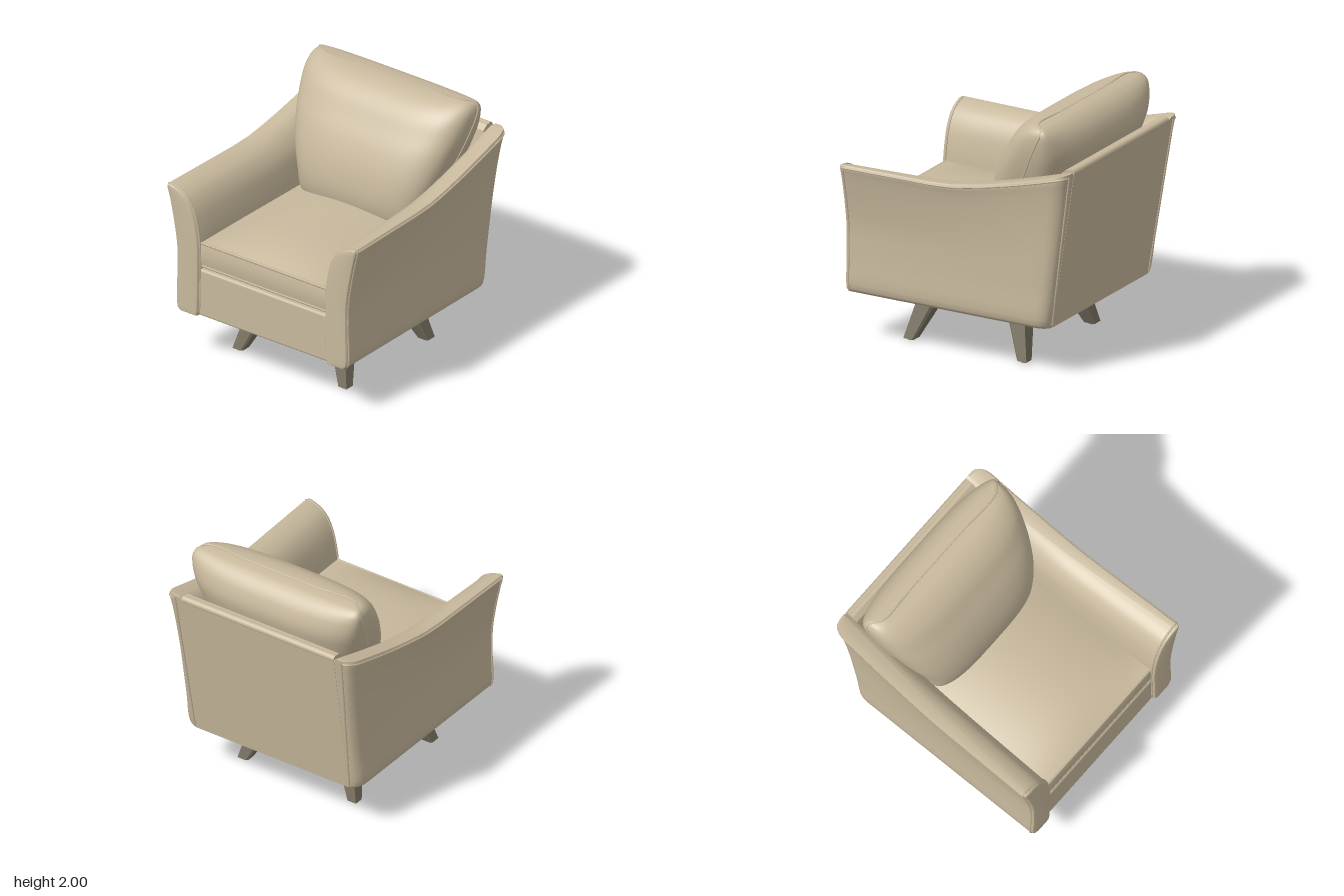
import * as THREE from 'three';
import { toCreasedNormals } from 'three/addons/utils/BufferGeometryUtils.js';
import { RoundedBoxGeometry } from 'three/addons/geometries/RoundedBoxGeometry.js';

const V = (x, y, z = 0) => new THREE.Vector3(x, y, z);
const lerp = THREE.MathUtils.lerp;
const smooth = (points, n) => new THREE.CatmullRomCurve3(points).getPoints(n);

// Skin a list of equal, even-sized rings, cap both ends and face outward
function loft(rings, crease = 0.6) {
  const n = rings[0].length, pts = rings.flat(), index = [];
  const quad = (a, b, c, d) => index.push(a, b, c, a, c, d);
  for (let r = 0; r < rings.length - 1; r++)
    for (let i = 0; i < n; i++) {
      const j = (i + 1) % n;
      quad(r * n + i, r * n + j, (r + 1) * n + j, (r + 1) * n + i);
    }
  const end = (rings.length - 1) * n;
  for (let i = 0; i < n / 2 - 1; i++) {
    quad(i, n - 1 - i, n - 2 - i, i + 1);
    quad(end + i, end + i + 1, end + n - 2 - i, end + n - 1 - i);
  }
  let volume = 0;
  for (let i = 0; i < index.length; i += 3)
    volume += pts[index[i]].dot(pts[index[i + 1]].clone().cross(pts[index[i + 2]]));
  if (volume < 0) index.reverse();
  const g = new THREE.BufferGeometry().setFromPoints(pts);
  g.setIndex(index);
  return toCreasedNormals(g, crease);
}

const backZ = (y) => -0.78 - 0.19 * (y - 0.4) / 1.28; // raked rear plane

// Arm cross-sections, outer and inner sides, at the front and at the back
const side = (list) => smooth(list.map(([x, y]) => V(x, y)), 32);
const ARM = {
  outer: [
    side([[0.78, 0.4], [0.81, 0.43], [0.81, 0.7], [0.812, 0.93], [0.835, 1.1], [0.87, 1.28], [0.89, 1.37], [0.903, 1.425], [0.893, 1.445]]),
    side([[0.77, 0.4], [0.8, 0.43], [0.805, 0.7], [0.81, 0.93], [0.815, 1.15], [0.83, 1.4], [0.845, 1.55], [0.858, 1.66], [0.85, 1.69]]),
  ],
  inner: [
    side([[0.62, 0.4], [0.612, 0.43], [0.605, 0.7], [0.605, 0.98], [0.63, 1.16], [0.67, 1.29], [0.73, 1.38], [0.8, 1.425], [0.86, 1.445]]),
    side([[0.62, 0.4], [0.61, 0.43], [0.58, 0.7], [0.57, 0.98], [0.575, 1.2], [0.59, 1.43], [0.64, 1.57], [0.69, 1.66], [0.73, 1.69]]),
  ],
};
function armPoint(sx, which, k, t) {
  const [front, back] = ARM[which];
  const rise = Math.pow(Math.max(0, (0.1 - (0.94 - 1.9 * t)) / 1.06), 1.4);
  const u = Math.max(0, (t - 0.94) / 0.06);
  const pull = 1 - Math.sqrt(Math.max(0, 1 - u * u));
  const y = lerp(front[k].y, back[k].y, rise) - (k > 24 ? 0.012 * pull : 0);
  const x = lerp(front[k].x, back[k].x, t) - (which === 'outer' ? 0.08 * pull : 0);
  return V(sx * x, y, lerp(0.94, backZ(y), t));
}
function armRing(sx, t, width = 1, z = null) {
  const outer = [], inner = [];
  for (let k = 0; k <= 32; k++) {
    const a = armPoint(sx, 'outer', k, t), b = armPoint(sx, 'inner', k, t);
    const mid = a.clone().add(b).multiplyScalar(0.5);
    for (const p of [a, b]) {
      p.x = lerp(mid.x, p.x, width);
      p.y = lerp(0.9, p.y, 1 - (1 - width) * 0.06);
      if (z !== null) p.z = z;
    }
    outer.push(a);
    inner.unshift(b);
  }
  return [...outer, ...inner];
}

// Back cushion slices: y, half width, front z, seam z, rear z
const SLICES = [
  [1.0, 0.52, -0.16, -0.3, -0.55], [1.06, 0.56, -0.11, -0.31, -0.62], [1.2, 0.59, -0.08, -0.36, -0.7],
  [1.4, 0.66, -0.105, -0.45, -0.78], [1.6, 0.72, -0.18, -0.55, -0.85], [1.75, 0.755, -0.27, -0.62, -0.88],
  [1.87, 0.77, -0.35, -0.68, -0.85], [1.94, 0.765, -0.43, -0.71, -0.8], [1.98, 0.735, -0.51, -0.7, -0.74],
  [1.995, 0.67, -0.58, -0.64, -0.68],
];
function pillowRing(y, w, zf, zs, zb) {
  const ring = [], N = 56, e = 2 / 3.3;
  for (let i = 0; i < N; i++) {
    const c = Math.cos(2 * Math.PI * i / N), s = Math.sin(2 * Math.PI * i / N);
    const depth = s > 0 ? zf - zs : zs - zb;
    ring.push(V(w * Math.sign(c) * Math.abs(c) ** e, y, zs + depth * Math.sign(s) * Math.abs(s) ** e));
  }
  return ring;
}

export function createModel() {
  const group = new THREE.Group();
  const fabric = new THREE.MeshStandardMaterial({ color: 0xc8b99d });
  fabric.name = 'beige fabric';
  const wood = new THREE.MeshStandardMaterial({ color: 0x787060 });
  wood.name = 'grey brown wood';
  const add = (name, geometry, material = fabric, x = 0, y = 0, z = 0) => {
    const mesh = new THREE.Mesh(geometry, material);
    mesh.name = name;
    mesh.position.set(x, y, z);
    group.add(mesh);
    return mesh;
  };
  const piping = (name, points, r = 0.008) =>
    add(name, new THREE.TubeGeometry(new THREE.CatmullRomCurve3(points), 64, r, 6));

  // Flared arms with piped edges
  const steps = [0, 0.1, 0.2, 0.3, 0.4, 0.5, 0.58, 0.66, 0.74, 0.82, 0.89, 0.94, 0.96, 0.975, 0.987, 0.995, 1];
  for (const sx of [1, -1]) {
    const label = sx > 0 ? 'left' : 'right';
    add(label + 'Arm', loft([
      armRing(sx, 0, 0.7, 0.97), armRing(sx, 0, 0.9, 0.964), armRing(sx, 0, 0.98, 0.952),
      ...steps.map((t) => armRing(sx, t)),
    ]));
    piping(label + 'ArmFrontPiping', armRing(sx, 0).filter((p, i) => i > 1 && i < 64 && i % 2 === 0));
    piping(label + 'ArmTopPiping', steps.map((t) => armPoint(sx, 'outer', 28, t)));
    piping(label + 'BackPiping', [0.42, 0.8, 1.2, 1.5, 1.66].map((y) => V(sx * lerp(0.71, 0.765, (y - 0.42) / 1.24), y, backZ(y))), 0.01);
  }

  // Raked back frame with a rolled top
  const frame = (x) => [[-0.78, 0.4], [-0.97, 1.66], [-0.955, 1.685], [-0.9, 1.685], [-0.86, 1.65], [-0.6, 0.4]].map(([z, y]) => V(x, y, z));
  add('backFrame', loft([frame(-0.7), frame(0.7)]));
  add('backTopRoll', new THREE.CylinderGeometry(0.03, 0.03, 1.4, 16).rotateZ(Math.PI / 2), fabric, 0, 1.66, -0.942);

  // Base rail and underside
  add('frontRail', new RoundedBoxGeometry(1.24, 0.395, 1.68, 3, 0.02), fabric, 0, 0.5975, 0.1);
  const plate = new THREE.Shape();
  plate.moveTo(-0.64, -0.72).lineTo(0.64, -0.72).quadraticCurveTo(0.7, -0.72, 0.7, -0.66)
    .lineTo(0.7, 0.82).quadraticCurveTo(0.7, 0.88, 0.64, 0.88).lineTo(-0.64, 0.88)
    .quadraticCurveTo(-0.7, 0.88, -0.7, 0.82).lineTo(-0.7, -0.66).quadraticCurveTo(-0.7, -0.72, -0.64, -0.72);
  add('undersidePanel', new THREE.ExtrudeGeometry(plate, { depth: 0.02, bevelEnabled: false }).rotateX(Math.PI / 2), fabric, 0, 0.412, 0);

  // Crowned seat cushion
  const seat = new THREE.BoxGeometry(1.2, 0.2, 1.6, 24, 4, 24);
  const p = seat.attributes.position;
  for (let i = 0; i < p.count; i++) {
    const x = p.getX(i) / 0.6, y = p.getY(i), z = p.getZ(i) / 0.8;
    if (y > 0.099) p.setY(i, y + 0.1 * (1 - x * x) * (1 - z ** 4));
    if (z > 0.99) p.setZ(i, 0.8 + 0.012 * (1 - (y / 0.1) ** 2));
  }
  add('seatCushion', toCreasedNormals(seat, 0.7), fabric, 0, 0.92, 0.13);
  for (const y of [0.825, 1.015])
    piping('seatPiping', [V(-0.6, y, 0.927), V(0, y, 0.927), V(0.6, y, 0.927)], 0.011);

  // Back cushion with a seam around its edge
  const a = smooth(SLICES.map((s) => V(s[0], s[1], s[2])), 45);
  const b = smooth(SLICES.map((s) => V(s[3], s[4])), 45);
  add('backCushion', loft(a.map((s, i) => pillowRing(s.x, s.y, s.z, b[i].x, b[i].y)), 1));
  const rim = (sx) => SLICES.slice(2).map(([y, w, , zs]) => V(sx * w, y, zs));
  piping('backCushionSeam', [...rim(-1), V(-0.3, 1.993, -0.64), V(0.3, 1.993, -0.64), ...rim(1).reverse()], 0.007);

  // Splayed tapered legs with chamfered edges and small glides
  const plan = [[0, 0], [0.85, 0], [1, 0.15], [1, 1], [0.15, 1], [0, 0.85]];
  for (const sx of [1, -1])
    for (const [name, top, foot] of [['frontLeg', [0.34, 0.52], [0.53, 0.62]], ['backLeg', [-0.2, -0.38], [-0.37, -0.46]]]) {
      const ring = (y, [x0, x1], [z0, z1]) => plan.map(([u, v]) => V(sx * lerp(x0, x1, u), y, lerp(z0, z1, v)));
      add(name, loft([ring(0.41, [0.265, 0.447], top), ring(0.012, [0.455, 0.545], foot)], 0.2), wood);
      add(name + 'Glide', new THREE.CylinderGeometry(0.03, 0.03, 0.014, 12), wood, sx * 0.5, 0.007, (foot[0] + foot[1]) / 2);
    }
  return group;
}
